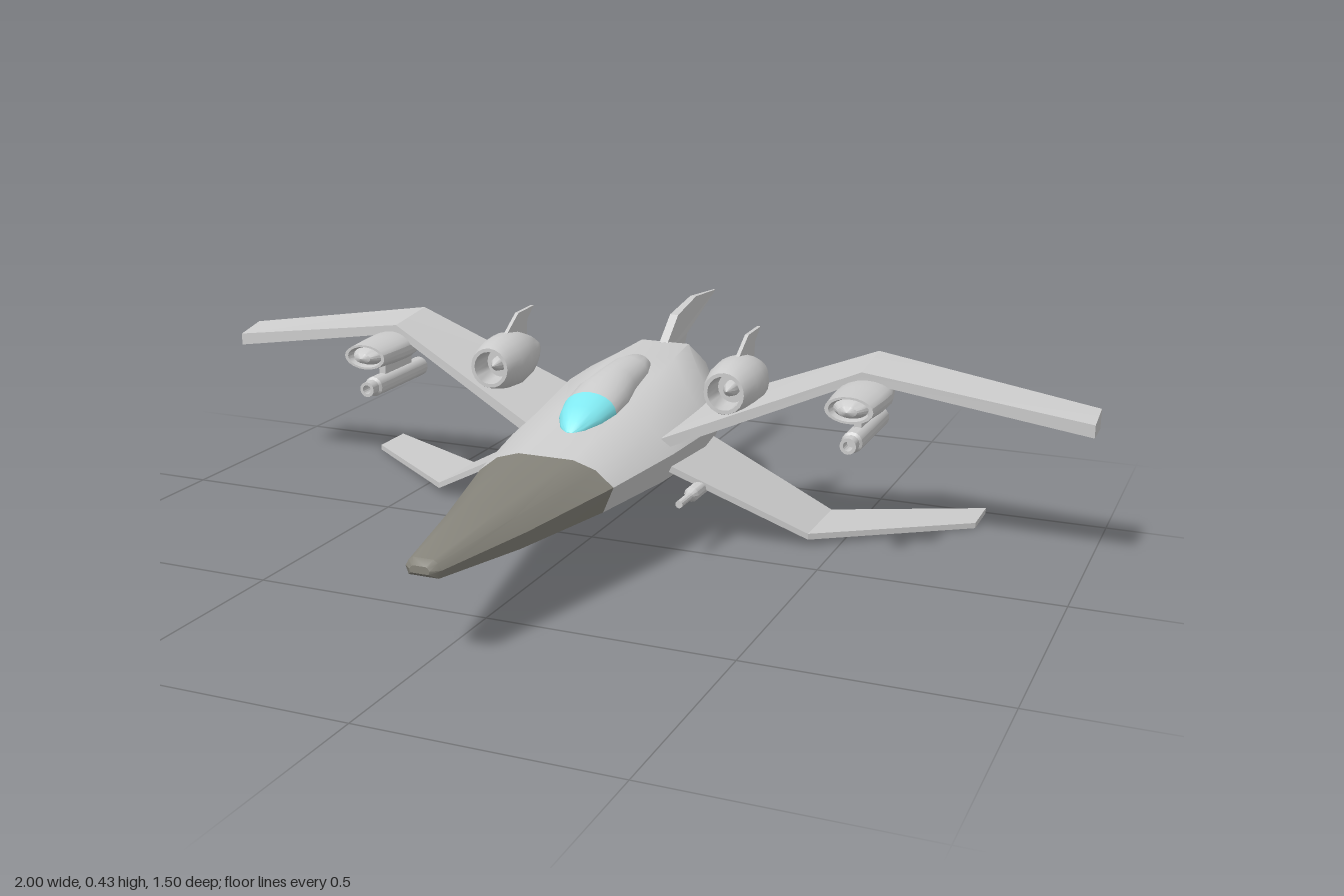
import * as THREE from 'three';
import { toCreasedNormals } from 'three/addons/utils/BufferGeometryUtils.js';

const grey = new THREE.MeshStandardMaterial({ color: 0xcccccc });
const darkGrey = new THREE.MeshStandardMaterial({ color: 0x85837a });
const glass = new THREE.MeshStandardMaterial({ color: 0x80e8f0 });

// Skin a row of closed cross-sections (arrays of [x, y, z]) and cap both ends
function loft(sections, crease = 0.6) {
  const n = sections[0].length, last = (sections.length - 1) * n;
  const index = [];
  for (let i = 0; i < sections.length - 1; i++) {
    for (let j = 0; j < n; j++) {
      const a = i * n + j, b = i * n + (j + 1) % n;
      index.push(a, a + n, b + n, a, b + n, b);
    }
  }
  for (let j = 1; j < n - 1; j++) {
    index.push(0, j, j + 1, last, last + j + 1, last + j);
  }
  const geo = new THREE.BufferGeometry();
  geo.setAttribute('position', new THREE.Float32BufferAttribute(sections.flat(2), 3));
  geo.setIndex(index);
  return toCreasedNormals(geo, crease);
}

// Eight-sided hull section
function hullSection([z, w, wb, y0, ym, y1, wt]) {
  const ws = 0.55 * w + 0.45 * wt, ys = ym + (y1 - ym) * 0.68;
  return [[wb, y0], [w, ym], [ws, ys], [wt, y1], [-wt, y1], [-ws, ys], [-w, ym], [-wb, y0]]
    .map(([x, y]) => [x, y, z]);
}

// Elliptical section
function ovalSection([z, rx, yc, ry]) {
  return Array.from({ length: 20 }, (_, i) => {
    const a = i / 20 * Math.PI * 2;
    return [rx * Math.cos(a), yc + ry * Math.sin(a), z];
  });
}

// Wing through stations [x, leading z, trailing z, bottom y, leading top y, trailing top y]
function wing(stations, side) {
  const sections = stations.map(([x, zl, zt, y0, yl, yt]) =>
    [[side * x, y0, zl], [side * x, yl, zl], [side * x, yt, zt], [side * x, y0, zt]]);
  if (side < 0) sections.reverse();
  return loft(sections, 0.2);
}

// Body turned about the z axis from [radius, z] points, rear to front
function turned(points, sides = 20) {
  const geo = new THREE.LatheGeometry(points.map(([r, z]) => new THREE.Vector2(r, z)), sides);
  geo.rotateX(Math.PI / 2);
  return toCreasedNormals(geo, 0.7);
}

// Upright plate from [z, y] outline points
function plate(outline, thickness) {
  const shape = new THREE.Shape(outline.map(([z, y]) => new THREE.Vector2(z, y)));
  const geo = new THREE.ExtrudeGeometry(shape, { depth: thickness, bevelEnabled: false });
  geo.rotateY(-Math.PI / 2);
  geo.translate(thickness / 2, 0, 0);
  return geo;
}

export function createModel() {
  const model = new THREE.Group();
  const add = (name, geo, mat = grey, x = 0, y = 0, z = 0) => {
    const mesh = new THREE.Mesh(geo, mat);
    mesh.name = name;
    mesh.position.set(x, y, z);
    model.add(mesh);
    return mesh;
  };

  // Hull: z, half width, bottom half width, bottom, widest height, top, top half width
  const joint = [0.23, 0.147, 0.125, 0.146, 0.2, 0.246, 0.06];
  add('noseCone', loft([
    [0.75, 0.02, 0.018, 0.178, 0.185, 0.192, 0.012],
    [0.735, 0.036, 0.03, 0.168, 0.184, 0.202, 0.02],
    [0.5, 0.088, 0.075, 0.152, 0.187, 0.227, 0.04],
    joint,
  ].map(hullSection)), darkGrey);
  add('fuselage', loft([
    joint,
    [0, 0.185, 0.16, 0.146, 0.21, 0.285, 0.065],
    [-0.2, 0.2, 0.172, 0.146, 0.215, 0.322, 0.07],
    [-0.3, 0.188, 0.16, 0.146, 0.215, 0.334, 0.068],
    [-0.42, 0.135, 0.115, 0.146, 0.22, 0.34, 0.057],
    [-0.5, 0.082, 0.075, 0.195, 0.23, 0.272, 0.065],
    // exhaust recess
    [-0.5, 0.07, 0.064, 0.205, 0.23, 0.262, 0.055],
    [-0.45, 0.066, 0.06, 0.207, 0.23, 0.26, 0.052],
  ].map(hullSection)));

  // Canopy and the fairing behind it
  const rim = [0.01, 0.06, 0.285, 0.04];
  add('canopy', loft([
    [0.118, 0.006, 0.262, 0.004], [0.1, 0.027, 0.268, 0.018],
    [0.06, 0.048, 0.276, 0.032], rim,
  ].map(ovalSection)), glass);
  add('canopyFairing', loft([
    rim, [-0.05, 0.062, 0.295, 0.046], [-0.12, 0.051, 0.305, 0.046],
    [-0.2, 0.047, 0.318, 0.036], [-0.25, 0.033, 0.325, 0.024], [-0.275, 0.008, 0.329, 0.006],
  ].map(ovalSection)));

  // Swept tail fin, thinner towards its tip
  const fin = plate([[-0.41, 0.32], [-0.41, 0.34], [-0.475, 0.392], [-0.6, 0.412],
    [-0.75, 0.4], [-0.54, 0.336], [-0.495, 0.27], [-0.45, 0.27]], 0.02);
  const p = fin.attributes.position;
  for (let i = 0; i < p.count; i++) {
    p.setX(i, p.getX(i) * (1 - 0.7 * Math.max(0, -0.5 - p.getZ(i)) / 0.25));
  }
  fin.computeVertexNormals();
  add('tailFin', fin);

  for (const side of [1, -1]) {
    // Gull wing, rising then drooping
    add('mainWing', wing([
      [0.12, 0.01, -0.265, 0.2, 0.225, 0.24],
      [0.54, -0.13, -0.265, 0.37, 0.39, 0.405],
      [1, -0.19, -0.265, 0.288, 0.315, 0.33],
    ], side));
    // Lower wing, dropping then flat and swept back
    add('lowerWing', wing([
      [0.13, 0.0, -0.265, 0.185, 0.2, 0.2],
      [0.44, -0.13, -0.305, 0.016, 0.029, 0.029],
      [0.74, -0.385, -0.495, 0.002, 0.014, 0.014],
    ], side));

    // Engine pod with open intake, spinner and small fin
    add('enginePod', turned([[0, -0.31], [0.012, -0.295], [0.036, -0.245], [0.054, -0.195],
      [0.061, -0.15], [0.058, -0.11], [0.05, -0.075], [0.044, -0.06],
      [0.036, -0.06], [0.032, -0.115], [0, -0.115]]), grey, side * 0.27, 0.333);
    add('intakeSpinner', turned([[0.018, -0.12], [0.014, -0.095], [0, -0.075]], 12),
      grey, side * 0.27, 0.333);
    add('engineFin', plate([[-0.13, 0.385], [-0.17, 0.41], [-0.2, 0.428], [-0.28, 0.43],
      [-0.245, 0.405], [-0.24, 0.36], [-0.15, 0.36]], 0.008), grey, side * 0.27);

    // Flattened nacelle under the wing bend
    const nacelle = turned([[0, -0.25], [0.025, -0.235], [0.046, -0.19], [0.058, -0.13],
      [0.057, -0.08], [0.05, -0.005], [0.042, -0.005], [0.036, -0.02], [0.02, 0.005], [0, 0.012]]);
    nacelle.scale(1, 0.55, 1);
    nacelle.computeVertexNormals();
    add('nacelle', toCreasedNormals(nacelle, 0.7), grey, side * 0.55, 0.342);

    // Cannon slung beneath it on a pylon
    add('pylon', new THREE.BoxGeometry(0.016, 0.05, 0.12), grey, side * 0.55, 0.3, -0.14);
    add('wingCannon', turned([[0, -0.25], [0.022, -0.25], [0.022, -0.04], [0.017, -0.035],
      [0.017, -0.01], [0.01, -0.01], [0.01, -0.04], [0, -0.04]], 16), grey, side * 0.55, 0.267);

    // Gun under the lower wing root
    add('lowerGun', turned([[0, -0.14], [0.016, -0.13], [0.016, 0], [0.008, 0.012],
      [0.008, 0.072], [0, 0.072]], 12), grey, side * 0.225, 0.127);
  }
  return model;
}
